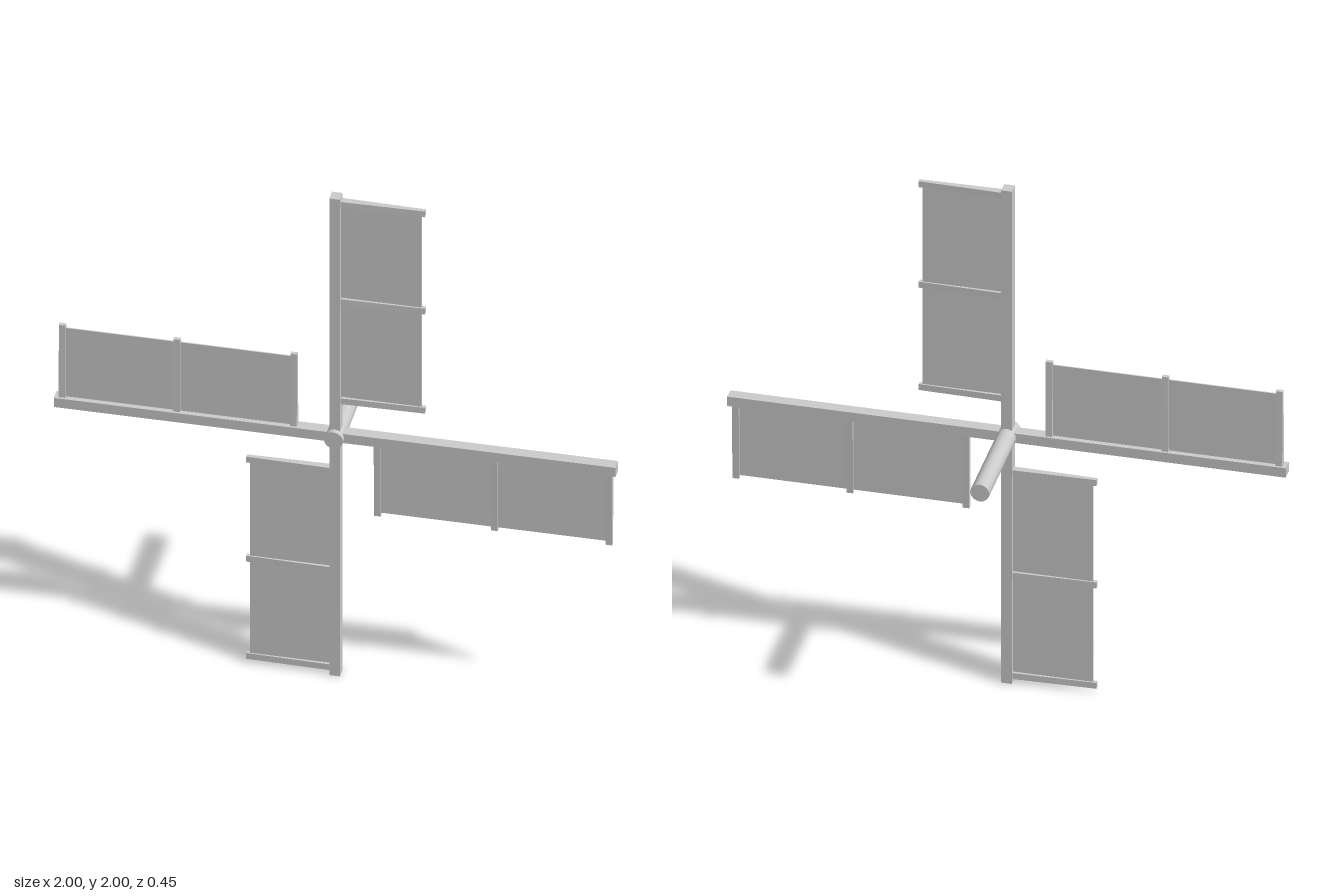
import * as THREE from 'three';

const HUB_Y = 1;
const ARM_Z = 0.183;
const grey = new THREE.MeshStandardMaterial({ color: 0xcccccc, flatShading: true });
const smoothGrey = new THREE.MeshStandardMaterial({ color: 0xcccccc });

function addBox(parent, name, size, position) {
  const mesh = new THREE.Mesh(new THREE.BoxGeometry(...size), grey);
  mesh.name = name;
  mesh.position.set(...position);
  parent.add(mesh);
  return mesh;
}

// Cross bar that thins in depth towards its free end
function ribGeometry(length) {
  const geometry = new THREE.BoxGeometry(length, 0.024, 0.027);
  const p = geometry.attributes.position;
  for (let i = 0; i < p.count; i++) {
    if (p.getX(i) > 0) p.setZ(i, p.getZ(i) * 0.55);
  }
  geometry.computeVertexNormals();
  return geometry;
}

// One arm pointing up from the hub, with its panel on the +x side
function createSail() {
  const sail = new THREE.Group();
  sail.name = 'sail';
  addBox(sail, 'arm', [0.038, 1, 0.044], [0, 0.5, 0]);
  addBox(sail, 'panel', [0.29, 0.835, 0.005], [0.16, 0.56, 0]);
  const geometry = ribGeometry(0.31);
  for (const y of [0.149, 0.565, 0.973]) {
    const rib = new THREE.Mesh(geometry, grey);
    rib.name = 'rib';
    rib.position.set(0.163, y, 0);
    sail.add(rib);
  }
  return sail;
}

export function createModel() {
  const model = new THREE.Group();
  model.name = 'windmillSails';

  // Four sails around the hub
  for (let i = 0; i < 4; i++) {
    const sail = createSail();
    sail.position.set(0, HUB_Y, ARM_Z);
    sail.rotation.z = (i * Math.PI) / 2;
    model.add(sail);
  }

  // Axle running back from the hub
  const axle = new THREE.Mesh(new THREE.CylinderGeometry(0.034, 0.034, 0.45, 16), smoothGrey);
  axle.name = 'axle';
  axle.rotation.x = Math.PI / 2;
  axle.position.y = HUB_Y;
  model.add(axle);

  return model;
}
